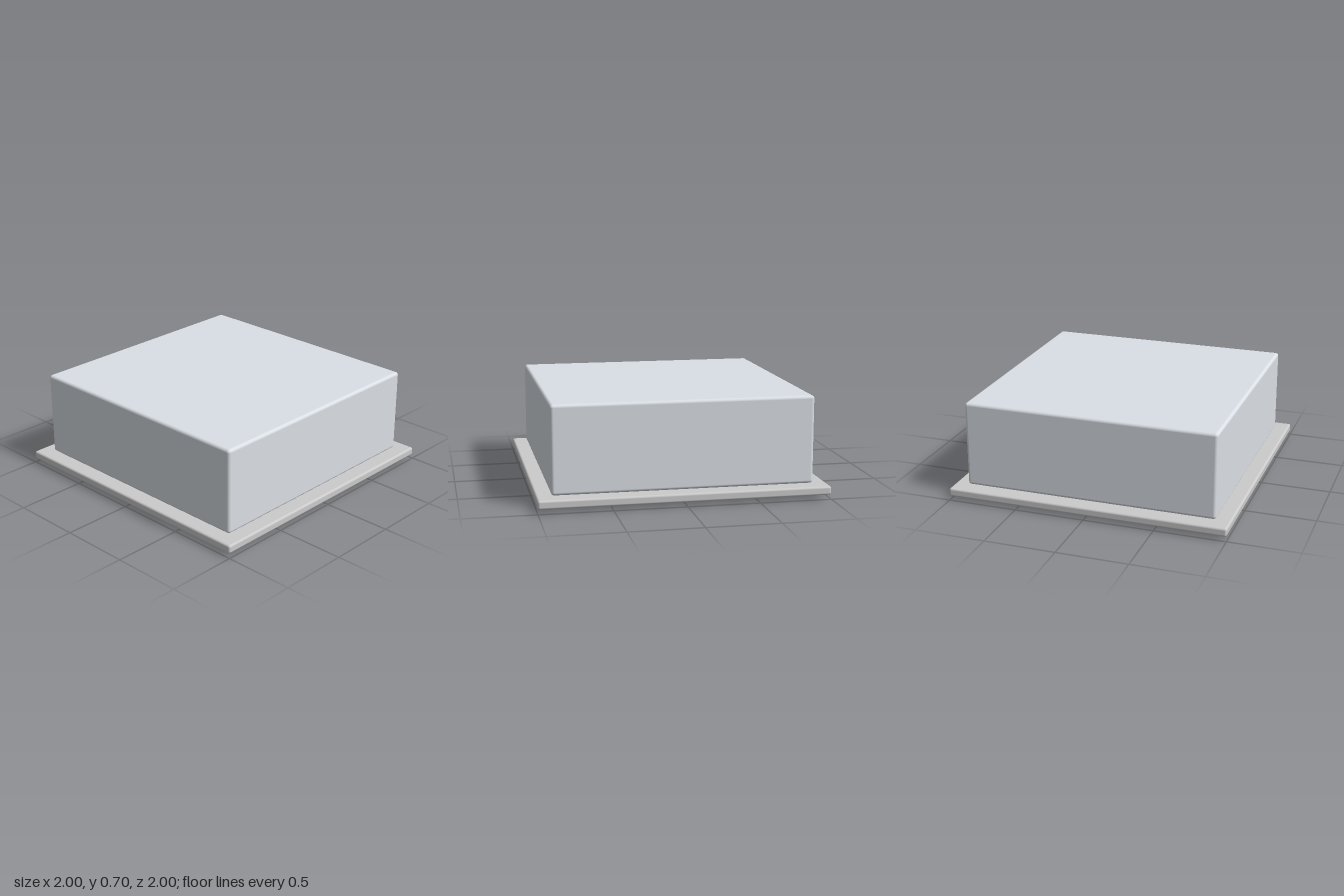
import * as THREE from 'three';
import { RoundedBoxGeometry } from 'three/addons/geometries/RoundedBoxGeometry.js';

const material = (color) => new THREE.MeshStandardMaterial({ color });

export function createModel() {
  const model = new THREE.Group();
  model.name = 'ceilingCassetteUnit';

  const housingMat = material(0xdbe0e6);
  const panelMat = material(0xcccccc);
  const grilleMat = material(0xdde0e4);
  const slotMat = material(0x2b323a);

  // Rounded slab spanning the heights bottom to top
  const slab = (name, width, bottom, top, depth, radius, mat) => {
    const mesh = new THREE.Mesh(new RoundedBoxGeometry(width, top - bottom, depth, 4, radius), mat);
    mesh.name = name;
    mesh.position.y = (bottom + top) / 2;
    model.add(mesh);
    return mesh;
  };

  // Housing above the ceiling, flange panel and raised intake plate below
  slab('housing', 1.8, 0.093, 0.703, 1.8, 0.022, housingMat);
  slab('flangePanel', 2, 0.03, 0.09, 2, 0.015, panelMat);
  slab('intakePlate', 1.125, 0, 0.045, 1.125, 0.01, grilleMat);

  // Four dark air outlets around the underside
  for (let i = 0; i < 4; i++) {
    const angle = (i * Math.PI) / 2;
    const outlet = slab('airOutlet' + (i + 1), 1.56, 0.007, 0.037, 0.062, 0.004, slotMat);
    outlet.position.x = Math.sin(angle) * 0.84;
    outlet.position.z = Math.cos(angle) * 0.84;
    outlet.rotation.y = angle;
  }

  return model;
}
